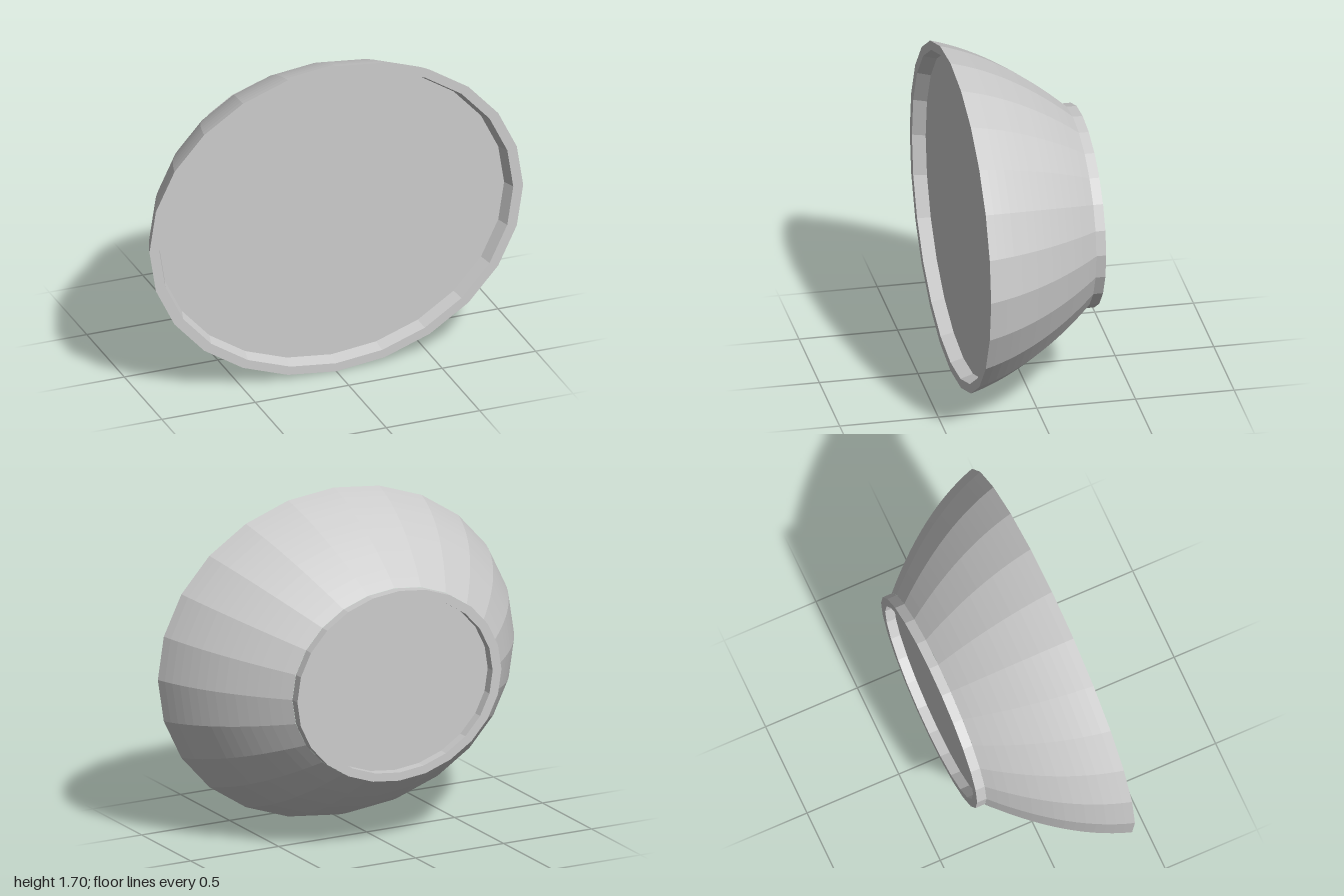
import * as THREE from 'three';

const SIDES = 24, SQUASH = 0.85;
const FRONT = 0.335, BACK = -0.335, JOIN = -0.285;
const PANEL = FRONT - 0.065;

// Outer radius of the bowl at depth z
const bowlRadius = (z) => {
  const t = FRONT - z;
  return 1 - 0.31 * t - 0.59 * t * t;
};

export function createModel() {
  const model = new THREE.Group();
  model.name = 'ovalDish';
  const material = new THREE.MeshStandardMaterial({ color: 0xcccccc, flatShading: true });

  // Turned part about the z axis, squashed to an oval; profile is [radius, z]
  const turned = (name, profile) => {
    const geometry = new THREE.LatheGeometry(profile.map(([r, z]) => new THREE.Vector2(r, z)), SIDES);
    geometry.rotateX(Math.PI / 2).scale(1, SQUASH, 1).translate(0, SQUASH, 0);
    geometry.computeVertexNormals();
    const mesh = new THREE.Mesh(geometry, material);
    mesh.name = name;
    model.add(mesh);
  };

  // Foot ring at the back
  turned('footRing', [[0.53, JOIN], [0.53, BACK], [0.58, BACK], [0.58, JOIN], [0.56, JOIN]]);
  turned('footPanel', [[0, JOIN], [0.53, JOIN]]);

  // Flared bowl, flat rim and tapering inner lip
  const shell = [];
  const steps = 14;
  for (let i = 0; i <= steps; i++) {
    const z = JOIN + (FRONT - JOIN) * i / steps;
    shell.push([bowlRadius(z), z]);
  }
  shell.push([0.947, FRONT], [0.924, PANEL]);
  turned('bowl', shell);

  // Recessed front panel
  turned('frontPanel', [[0.924, PANEL], [0, PANEL]]);

  return model;
}
